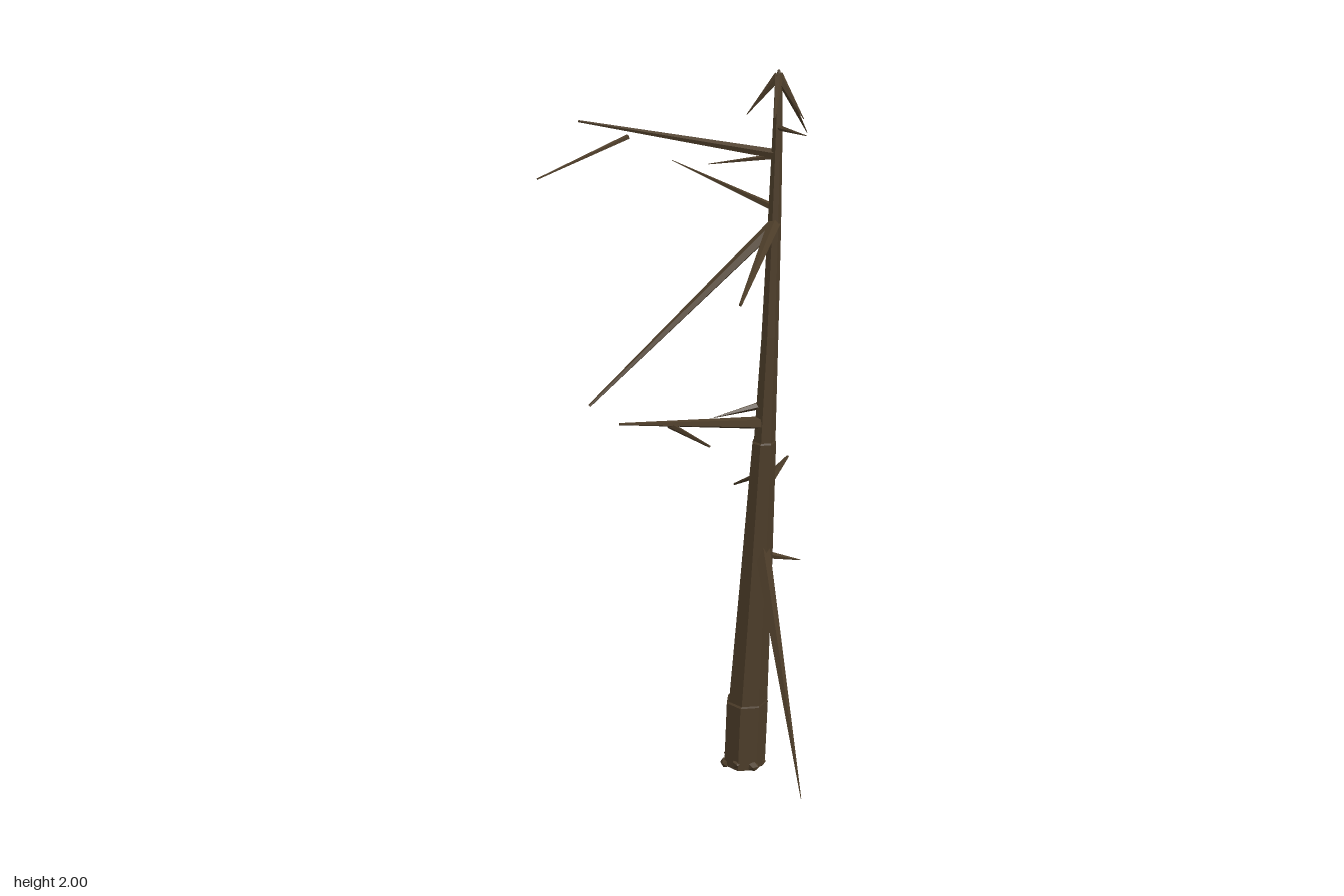
import * as THREE from 'three';

const bark = new THREE.MeshStandardMaterial({ color: 0x4e3e2a, flatShading: true });
bark.name = 'bark';

// Leaning trunk rings: height, centre x, centre z, radius
const RINGS = [
  [0.012, 0.182, -0.031, 0.060],
  [0.21, 0.187, -0.027, 0.060],
  [0.215, 0.189, -0.025, 0.056],
  [0.60, 0.204, -0.005, 0.045],
  [1.00, 0.218, 0.016, 0.033],
  [1.005, 0.219, 0.017, 0.030],
  [1.30, 0.227, 0.029, 0.023],
  [1.60, 0.233, 0.037, 0.018],
  [1.85, 0.237, 0.041, 0.013],
  [1.97, 0.238, 0.042, 0.010],
  [2.00, 0.238, 0.042, 0.003],
];

// Point on the trunk axis at a given height
function axisAt(y) {
  let i = 1;
  while (i < RINGS.length - 1 && RINGS[i][0] < y) i++;
  const a = RINGS[i - 1], b = RINGS[i];
  const t = (y - a[0]) / (b[0] - a[0]);
  return [a[1] + t * (b[1] - a[1]), y, a[2] + t * (b[2] - a[2])];
}

function makeTrunk() {
  const n = RINGS.length - 1;
  const geo = new THREE.CylinderGeometry(1, 1, n, 7, n, false, Math.PI / 7);
  const p = geo.attributes.position;
  for (let i = 0; i < p.count; i++) {
    const [y, cx, cz, r] = RINGS[Math.round(p.getY(i) + n / 2)];
    p.setXYZ(i, cx + p.getX(i) * r, y, cz + p.getZ(i) * r);
  }
  geo.computeVertexNormals();
  const mesh = new THREE.Mesh(geo, bark);
  mesh.name = 'trunk';
  return mesh;
}

// Straight tapering limb between two points
function limb(name, from, to, r0, r1) {
  const a = new THREE.Vector3(...from), b = new THREE.Vector3(...to);
  const dir = b.clone().sub(a);
  const mesh = new THREE.Mesh(new THREE.CylinderGeometry(r1, r0, dir.length(), 5), bark);
  mesh.name = name;
  mesh.position.copy(a).add(b).multiplyScalar(0.5);
  mesh.quaternion.setFromUnitVectors(new THREE.Vector3(0, 1, 0), dir.normalize());
  return mesh;
}

export function createModel() {
  const tree = new THREE.Group();
  tree.name = 'deadTree';
  tree.add(makeTrunk());

  // Branches: height on trunk, tip, base radius, tip radius
  const branches = [
    [0.86, [0.37, 0.78, -0.438], 0.021, 0.004],
    [1.785, [-0.25, 1.845, -0.147], 0.013, 0.003],
    [1.645, [0.005, 1.715, -0.235], 0.010, 0.001],
    [1.60, [-0.265, 1.19, 0.205], 0.017, 0.004],
    [1.055, [-0.193, 1.152, 0.245], 0.018, 0.003],
    [1.605, [0.075, 1.522, 0.475], 0.017, 0.004],
    [0.74, [0.298, 0.03, 0.228], 0.025, 0.001],
  ];
  for (const [y, tip, r0, r1] of branches) tree.add(limb('branch', axisAt(y), tip, r0, r1));

  // Short stubs along the trunk
  const stubs = [
    [0.67, [0.338, 0.62, -0.052], 0.014],
    [1.11, [0.08, 1.08, 0.03], 0.012],
    [1.78, [0.075, 1.745, -0.048], 0.008],
    [1.855, [0.288, 1.857, 0.163], 0.008],
  ];
  for (const [y, tip, r0] of stubs) tree.add(limb('stub', axisAt(y), tip, r0, 0.001));

  // Side twigs
  const twigs = [
    [[0.297, 0.81, -0.265], [0.22, 0.687, -0.476], 0.012, 0.003],
    [[-0.13, 1.815, -0.078], [-0.375, 1.75, 0.082], 0.007, 0.002],
    [[-0.052, 1.105, 0.14], [0.013, 1.14, 0.403], 0.009, 0.003],
  ];
  for (const [from, to, r0, r1] of twigs) tree.add(limb('twig', from, to, r0, r1));

  // Drooping crown
  const crown = [
    [0.34, 1.81, -0.095], [0.162, 1.885, 0.02], [0.215, 1.895, 0.125],
    [0.295, 1.88, -0.02], [0.298, 1.88, 0.07],
  ];
  for (const tip of crown) tree.add(limb('crownTwig', [0.238, 1.985, 0.042], tip, 0.012, 0.001));

  // Lumpy root knobs around the foot
  for (let i = 0; i < 7; i++) {
    const a = (i / 7) * Math.PI * 2 + 0.3, r = 0.047 + 0.005 * (i % 2);
    const knob = new THREE.Mesh(new THREE.IcosahedronGeometry(0.017, 0), bark);
    knob.name = 'rootKnob';
    knob.position.set(0.181 + Math.cos(a) * r, 0.018 + 0.006 * (i % 3), -0.031 + Math.sin(a) * r);
    knob.rotation.set(i, a, 0);
    tree.add(knob);
  }
  return tree;
}
